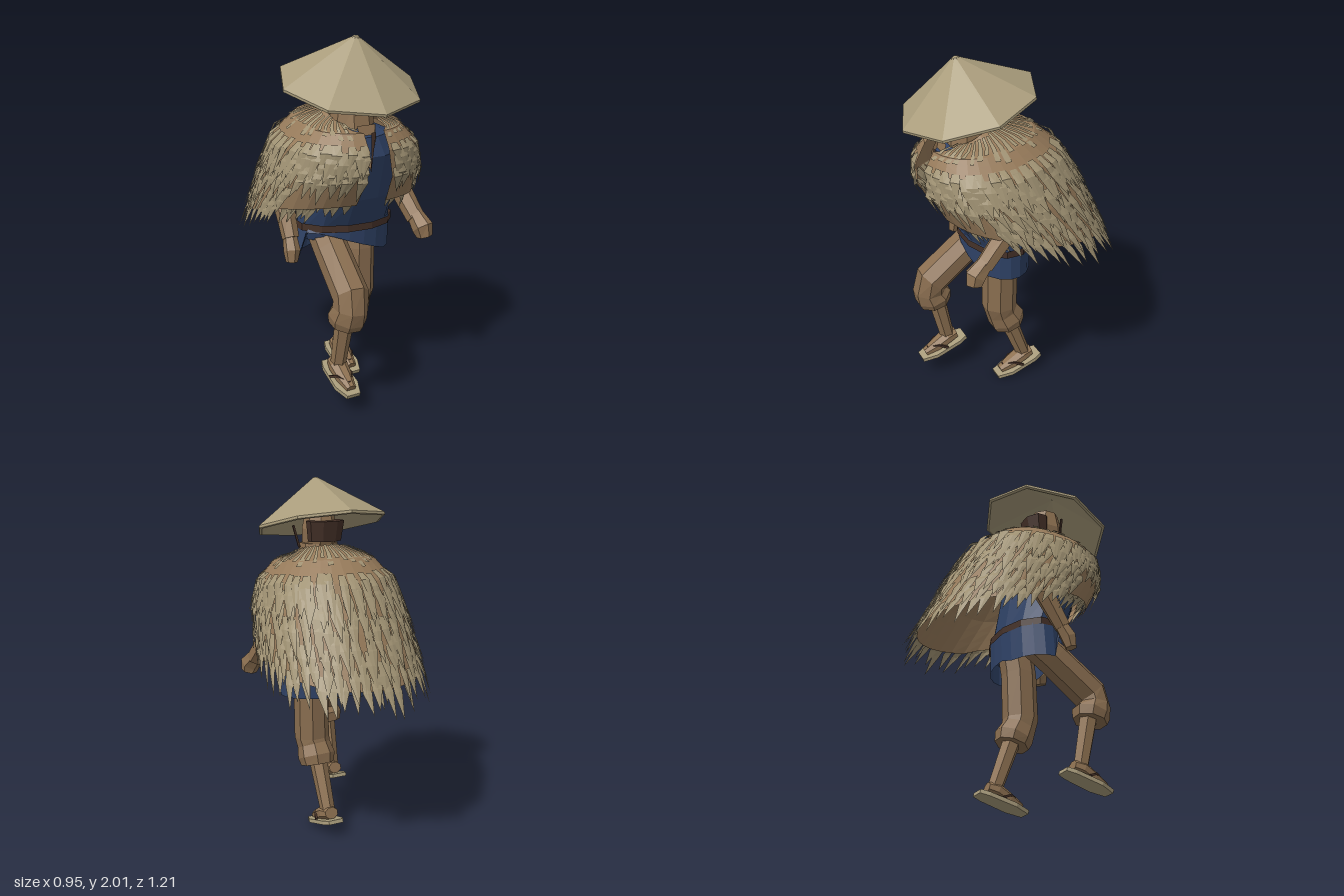
import * as THREE from 'three';

const mat = (name, color, double = true) => {
  const m = new THREE.MeshStandardMaterial({ color, flatShading: true, side: double ? THREE.DoubleSide : THREE.FrontSide });
  m.name = name;
  return m;
};

let seed = 7;
const rnd = () => (seed = (seed * 16807) % 2147483647) / 2147483647;
const V = (x, y, z) => new THREE.Vector3(x, y, z);
const lerp = THREE.MathUtils.lerp;

function fromTriangles(points) {
  const g = new THREE.BufferGeometry().setFromPoints(points);
  g.computeVertexNormals();
  return g;
}

// Skin a list of rings (arrays of points) into one surface
function skin(rings, closed = true, caps = true) {
  const tris = [], n = rings[0].length;
  for (let i = 0; i < rings.length - 1; i++)
    for (let j = 0; j < (closed ? n : n - 1); j++) {
      const k = (j + 1) % n, a = rings[i][j], b = rings[i][k], c = rings[i + 1][k], d = rings[i + 1][j];
      tris.push(a, b, c, a, c, d);
    }
  if (caps) for (let j = 1; j < n - 1; j++) {
    const s = rings[0], e = rings[rings.length - 1];
    tris.push(s[0], s[j + 1], s[j], e[0], e[j], e[j + 1]);
  }
  return fromTriangles(tris);
}

// Limb through points [x, y, z, radius]
function limb(pts, sides = 8) {
  const P = pts.map(p => V(p[0], p[1], p[2]));
  return skin(P.map((p, i) => {
    const T = P[Math.min(i + 1, P.length - 1)].clone().sub(P[Math.max(i - 1, 0)]).normalize();
    const X = V(1, 0, 0).addScaledVector(T, -T.x).normalize(), U = T.clone().cross(X);
    return Array.from({ length: sides }, (_, j) => {
      const a = (j + 0.5) / sides * Math.PI * 2, r = pts[i][3];
      return p.clone().addScaledVector(X, Math.cos(a) * r).addScaledVector(U, Math.sin(a) * r);
    });
  }));
}

// Horizontal oval ring
const oval = (x, y, z, w, d, n = 12) => Array.from({ length: n }, (_, j) => {
  const a = (j + 0.5) / n * Math.PI * 2;
  return V(x + Math.sin(a) * w, y, z + Math.cos(a) * d);
});

// Cape rings from neck to hem: front z, back z, half width, front y, side y, back y, opening
const CAPE = [
  [0.41, 0.13, 0.13, 1.56, 1.61, 1.64, 0.75],
  [0.5, -0.09, 0.27, 1.54, 1.555, 1.59, 0.18],
  [0.55, -0.22, 0.36, 1.45, 1.455, 1.48, 0.13],
  [0.55, -0.36, 0.41, 1.31, 1.26, 1.23, 0.15],
  [0.46, -0.49, 0.435, 1.15, 1.04, 0.95, 0.17],
];
function capePoint(u, v) {
  const t = v * 4, i = Math.min(Math.floor(t), 3);
  const [zf, zb, w, yf, ys, yb, open] = CAPE[i].map((q, k) => lerp(q, CAPE[i + 1][k], t - i));
  const a = Math.PI + u * (Math.PI - open), s = Math.sin(a), c = Math.cos(a);
  const y = c > 0 ? lerp(ys, yf, c ** 0.6) : lerp(ys, yb, -c);
  const full = c > 0 ? 0.2 : 0.06;
  return V(-0.03 * (1 - v * 0.7) + s * (1 + full - full * s * s) * w, y, (zf + zb) / 2 + c * (zf - zb) / 2);
}

// Collar slat that follows the cape surface
function slat(out, u, v0, v1, du) {
  const at = (s, v) => capePoint(THREE.MathUtils.clamp(u + s * du, -1, 1), v).add(V(0, 0.012, 0));
  const mid = (v0 + v1) / 2;
  for (const [a, b] of [[v0, mid], [mid, v1]])
    out.push(at(-1, a), at(1, b), at(-1, b), at(-1, a), at(1, a), at(1, b));
}

// One pointed straw blade hugging the cape, slightly folded along its middle
function blade(out, u, v, length, width, lift) {
  const down = capePoint(u, v + 0.04).sub(capePoint(u, v)), across = capePoint(u + 0.01, v).sub(capePoint(u - 0.01, v));
  const dv = length * 0.04 / down.length(), S = across.clone().normalize();
  const N = across.cross(down).normalize();
  if (N.dot(V(0.3 * Math.sign(-u), 0.15, Math.abs(u) - 0.5)) < 0 && N.y < 0.1) N.negate();
  const at = (s, t, n) => capePoint(u, v + dv * t).addScaledVector(S, s * width).addScaledVector(N, n);
  const a = at(-0.36, 0, 0.005), b = at(0.36, 0, 0.005), tip = at((rnd() - 0.5) * 0.6, 1, lift);
  const c = at(0.5, 0.35, 0.009 + lift * 0.35), d = at(-0.5, 0.35, 0.009 + lift * 0.35);
  const m = at(0, 0.35, 0.012 + lift * 0.35);
  out.push(a, m, b, a, d, m, b, m, c, d, tip, m, m, tip, c);
}

export function createModel() {
  const root = new THREE.Group();
  const M = {
    hat: mat('hat straw', 0xaa9d7c), straw: mat('cape straw', 0xa09273), base: mat('cape lining', 0x967a5a),
    skin: mat('skin', 0x8f7252, false), trousers: mat('trousers', 0x8a6e50, false), blue: mat('blue cloth', 0x2f4266),
    dark: mat('dark leather', 0x453128),
  };
  const add = (name, geo, m, parent = root) => {
    const mesh = new THREE.Mesh(geo, m);
    mesh.name = name;
    parent.add(mesh);
    return mesh;
  };

  // Hat: eight-sided hollow cone tipped forward
  const hat = add('hat', new THREE.LatheGeometry([[0, 0.225], [0.365, -0.012], [0.38, -0.008], [0.38, 0.006], [0.022, 0.255], [0.016, 0.262], [0, 0.262]]
    .map(p => new THREE.Vector2(...p)), 8), M.hat);
  hat.position.set(-0.035, 1.748, 0.262);
  hat.rotation.x = 0.26;

  // Head, neck, nose, hair and chin cords
  add('head', skin([oval(-0.03, 1.59, 0.3, 0.06, 0.07, 8), oval(-0.03, 1.63, 0.28, 0.092, 0.1, 8),
    oval(-0.03, 1.72, 0.265, 0.1, 0.11, 8), oval(-0.03, 1.83, 0.27, 0.075, 0.08, 8)]), M.skin);
  add('neck', skin([oval(-0.03, 1.48, 0.28, 0.125, 0.13, 8), oval(-0.03, 1.64, 0.28, 0.11, 0.1, 8)]), M.skin);
  add('nose', limb([[-0.03, 1.71, 0.36, 0.012], [-0.03, 1.67, 0.38, 0.02]], 4), M.skin);
  add('hair', skin([oval(-0.03, 1.655, 0.205, 0.1, 0.065, 8), oval(-0.03, 1.77, 0.195, 0.115, 0.075, 8)]), M.dark);
  for (const s of [-1, 1])
    add('chinCord', limb([[-0.03 + s * 0.15, 1.74, 0.3, 0.008], [-0.03 + s * 0.115, 1.62, 0.3, 0.008], [-0.03 + s * 0.03, 1.6, 0.375, 0.008]], 4), M.dark);

  // Torso, collar opening and belt
  add('torso', skin([oval(0, 0.9, 0.14, 0.25, 0.15), oval(0, 0.97, 0.14, 0.275, 0.17), oval(0, 1.15, 0.2, 0.27, 0.2),
    oval(-0.01, 1.4, 0.26, 0.27, 0.22), oval(-0.02, 1.5, 0.28, 0.2, 0.17), oval(-0.03, 1.55, 0.28, 0.1, 0.1)]), M.blue);
  const neckline = [V(-0.03, 1.33, 0.475), V(0.005, 1.5, 0.468), V(0.03, 1.56, 0.42), V(-0.08, 1.56, 0.42), V(-0.06, 1.5, 0.468)];
  add('chestOpening', fromTriangles([1, 2, 3].flatMap(i => [neckline[0], neckline[i], neckline[i + 1]])), M.skin);
  add('collarFold', fromTriangles([V(0.005, 1.53, 0.47), V(-0.022, 1.53, 0.47), V(-0.03, 1.32, 0.482)]), M.dark);
  add('belt', skin([0.955, 0.995].map(y => oval(0, y, 0.145, 0.292, 0.19).map(p => p.setY(p.y - p.x * 0.03))), true, false), M.dark);

  // Skirt: the front hem rises over the forward thigh
  const top = oval(0, 0.985, 0.14, 0.28, 0.175, 20);
  const hem = oval(-0.015, 0.8, 0.14, 0.29, 0.178, 20);
  for (const p of hem) p.y = p.z > 0.2 ? THREE.MathUtils.clamp(0.955 - (p.x + 0.2) * 0.39, 0.8, 0.955) : p.x < -0.1 ? 0.775 : 0.8;
  add('skirt', skin([hem, top], true, false), M.blue);

  // Cape lining
  const grid = Array.from({ length: 13 }, (_, i) => Array.from({ length: 33 }, (_, j) => capePoint(j / 16 - 1, i / 12)));
  add('capeLining', skin(grid, false, false), M.base);

  // Cape straw: collar slats, then overlapping rows of blades
  const straws = [];
  for (let j = 0; j < 40; j++)
    slat(straws, (j + 0.5) / 20 - 1, 0.01 + rnd() * 0.05, 0.23 + rnd() * 0.15, 0.011 + rnd() * 0.007);
  const rows = 9;
  for (let r = 0; r < rows; r++) {
    const v = lerp(0.41, 0.95, r / (rows - 1)), count = 36 + r;
    for (let j = 0; j < count; j++) {
      const u = THREE.MathUtils.clamp(((j + 0.5 + (r % 2) * 0.5 + (rnd() - 0.5) * 0.4) / count) * 2 - 1, -0.98, 0.98);
      const back = 1 - Math.abs(u);
      blade(straws, u, v + (rnd() - 0.5) * 0.03, (0.13 + back * 0.08) * (0.85 + rnd() * 0.4), 0.048 + rnd() * 0.015, 0.012 + rnd() * 0.024);
    }
  }
  add('capeStraw', fromTriangles(straws), M.straw);

  // Arms with fists
  const arms = [
    ['leftArm', [[0.3, 1.4, 0.2, 0.06], [0.315, 1.14, 0.21, 0.062], [0.34, 0.98, 0.36, 0.052]], [[0.34, 1.0, 0.35, 0.046], [0.35, 0.94, 0.415, 0.06], [0.358, 0.89, 0.425, 0.045]]],
    ['rightArm', [[-0.3, 1.4, 0.16, 0.06], [-0.34, 1.12, 0.08, 0.06], [-0.35, 0.93, 0.19, 0.046]], [[-0.35, 0.94, 0.18, 0.038], [-0.358, 0.87, 0.22, 0.046], [-0.365, 0.81, 0.23, 0.032]]],
  ];
  for (const [name, arm, hand] of arms) {
    add(name, limb(arm, 6), M.skin);
    add(name + 'Hand', limb(hand, 6), M.skin);
  }

  // Legs: trousers gathered below the knee, bare shin, sandalled foot
  const legs = [
    { side: 'right', thigh: [[-0.12, 0.93, 0.13, 0.095], [-0.13, 0.84, 0.25, 0.097], [-0.14, 0.66, 0.475, 0.1], [-0.15, 0.59, 0.485, 0.096], [-0.155, 0.54, 0.465, 0.108], [-0.158, 0.495, 0.455, 0.096]],
      shin: [[-0.16, 0.54, 0.45, 0.053], [-0.165, 0.19, 0.375, 0.042]], foot: [-0.165, 0.158, 0.42], tilt: 0.3 },
    { side: 'left', thigh: [[0.1, 0.93, 0.13, 0.1], [0.09, 0.8, 0.145, 0.1], [0.085, 0.53, 0.15, 0.1], [0.08, 0.48, 0.135, 0.096], [0.078, 0.42, 0.105, 0.108], [0.077, 0.375, 0.092, 0.096]],
      shin: [[0.075, 0.42, 0.1, 0.053], [0.066, 0.1, -0.02, 0.042]], foot: [0.065, 0.052, 0.03], tilt: 0.28 },
  ];
  const sole = new THREE.Shape([[-0.045, -0.15], [0.045, -0.15], [0.062, -0.1], [0.07, 0.06], [0.04, 0.145], [-0.04, 0.145], [-0.07, 0.06], [-0.062, -0.1]]
    .map(p => new THREE.Vector2(...p)));
  for (const { side, thigh, shin, foot, tilt } of legs) {
    add(side + 'Trouser', limb(thigh, 8), M.trousers);
    add(side + 'Shin', limb(shin, 6), M.skin);
    const g = new THREE.Group();
    g.name = side + 'Foot';
    g.position.set(...foot);
    g.rotation.x = tilt;
    root.add(g);
    add('sandal', new THREE.ExtrudeGeometry(sole, { depth: 0.022, bevelEnabled: false }).rotateX(Math.PI / 2), M.hat, g);
    add('foot', limb([[0, 0.035, -0.105, 0.035], [0, 0.038, -0.05, 0.046], [0, 0.02, 0.03, 0.04], [0, 0.01, 0.11, 0.024]], 8).scale(1.2, 1, 1), M.skin, g);
    for (const s of [-1, 1])
      add('strap', limb([[0, 0.036, 0.085, 0.009], [s * 0.045, 0.036, 0.02, 0.009], [s * 0.062, 0.003, -0.02, 0.009]], 4), M.dark, g);
  }
  return root;
}
